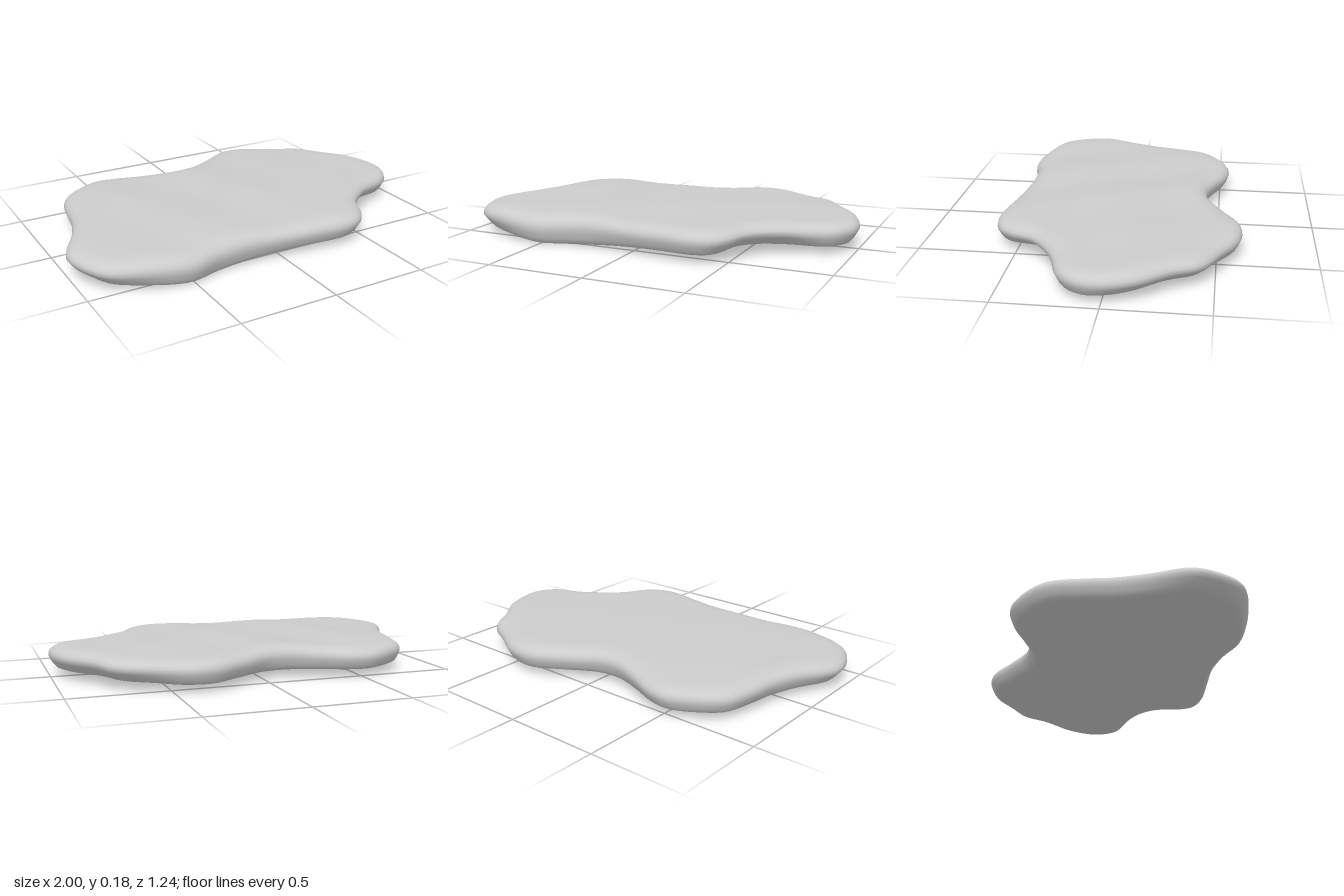
import * as THREE from 'three';
import { mergeVertices } from 'three/addons/utils/BufferGeometryUtils.js';

// Outline of the slab as x, z pairs, running right, front, left, back
const OUTLINE = [
  [1, 0], [0.99, 0.1], [0.92, 0.2], [0.72, 0.28], [0.57, 0.4], [0.505, 0.53], [0.44, 0.595],
  [0.34, 0.62], [0.15, 0.6], [-0.05, 0.573], [-0.2, 0.562], [-0.36, 0.572], [-0.52, 0.61],
  [-0.7, 0.58], [-0.9, 0.5], [-0.98, 0.37], [-1, 0.24], [-0.9, 0.04], [-0.85, -0.1],
  [-0.83, -0.22], [-0.785, -0.39], [-0.68, -0.485], [-0.54, -0.548], [-0.42, -0.535],
  [-0.28, -0.48], [-0.14, -0.437], [-0.02, -0.445], [0.13, -0.525], [0.3, -0.617],
  [0.45, -0.61], [0.6, -0.53], [0.76, -0.44], [0.84, -0.31], [0.95, -0.16],
];
const SIDES = 160;

const bump = (x, z, cx, cz, r) => Math.exp(-((x - cx) ** 2 + (z - cz) ** 2) / (r * r));

// Gently rippled upper face, falling away toward the ends
function topHeight(x, z) {
  const ripple = 0.004 * Math.sin(7 * x + 3 * z) * Math.cos(8 * z - 2 * x)
    + 0.003 * Math.sin(13 * x - 5 * z + 1);
  return 0.172 - 0.016 * x * x - 0.045 * z * z + ripple;
}

// Nearly flat underside that sags at the front
function bottomHeight(x, z) {
  const sag = THREE.MathUtils.smoothstep(z, 0, 0.6) * Math.exp(-(((x + 0.42) / 0.38) ** 2));
  return 0.038 - 0.038 * sag;
}

// How far the lower rim is tucked under the edge
function undercut(x, z) {
  return 0.025 + 0.075 * bump(x, z, 0.6, 0.38, 0.2)
    + 0.05 * bump(x, z, 0.9, -0.35, 0.35) + 0.035 * bump(x, z, -0.95, 0.4, 0.25);
}

function slabGeometry() {
  const curve = new THREE.CatmullRomCurve3(
    OUTLINE.map(([x, z]) => new THREE.Vector3(x, 0, z)), true);
  const edge = curve.getSpacedPoints(SIDES).slice(0, SIDES);
  const inward = edge.map((p, i) => {
    const a = edge[(i + SIDES - 3) % SIDES], b = edge[(i + 3) % SIDES];
    return new THREE.Vector3(a.z - b.z, 0, b.x - a.x).normalize();
  });

  // Rings: [scale toward centre, undercut share, plain inset, height from underside to top]
  const rings = [];
  for (let k = 0; k <= 8; k++) rings.push([k / 8, 1, 0.02 * k / 8, 0]);
  rings.push([1, 0.85, 0.005, 0.06], [1, 0.55, 0, 0.22], [1, 0.22, 0, 0.4], [1, 0, 0, 0.55],
    [1, 0, 0.003, 0.7], [1, 0, 0.013, 0.82], [1, 0, 0.03, 0.91], [1, 0, 0.055, 0.97]);
  for (let k = 16; k >= 0; k--) rings.push([k / 16, 0, 0.09, 1]);

  const positions = [], index = [];
  rings.forEach(([scale, under, inset, t], r) => {
    for (let i = 0; i < SIDES; i++) {
      const p = edge[i], n = inward[i];
      const d = under * undercut(p.x, p.z) + inset;
      const x = (p.x + n.x * d) * scale, z = (p.z + n.z * d) * scale;
      positions.push(x, THREE.MathUtils.lerp(bottomHeight(x, z), topHeight(x, z), t), z);
      if (r === rings.length - 1) continue;
      const a = r * SIDES + i, b = r * SIDES + (i + 1) % SIDES;
      // The first and last rings are the centre points, so one triangle is enough there
      if (r < rings.length - 2) index.push(a, a + SIDES, b + SIDES);
      else index.push(a, a + SIDES, b);
      if (r > 0 && r < rings.length - 2) index.push(a, b + SIDES, b);
    }
  });

  let geometry = new THREE.BufferGeometry();
  geometry.setAttribute('position', new THREE.Float32BufferAttribute(positions, 3));
  geometry.setIndex(index);
  geometry = mergeVertices(geometry, 1e-5);
  geometry.computeVertexNormals();
  return geometry;
}

export function createModel() {
  const group = new THREE.Group();
  group.name = 'flatStone';
  const slab = new THREE.Mesh(slabGeometry(), new THREE.MeshStandardMaterial({ color: 0xcccccc }));
  slab.name = 'stoneSlab';
  group.add(slab);
  return group;
}
